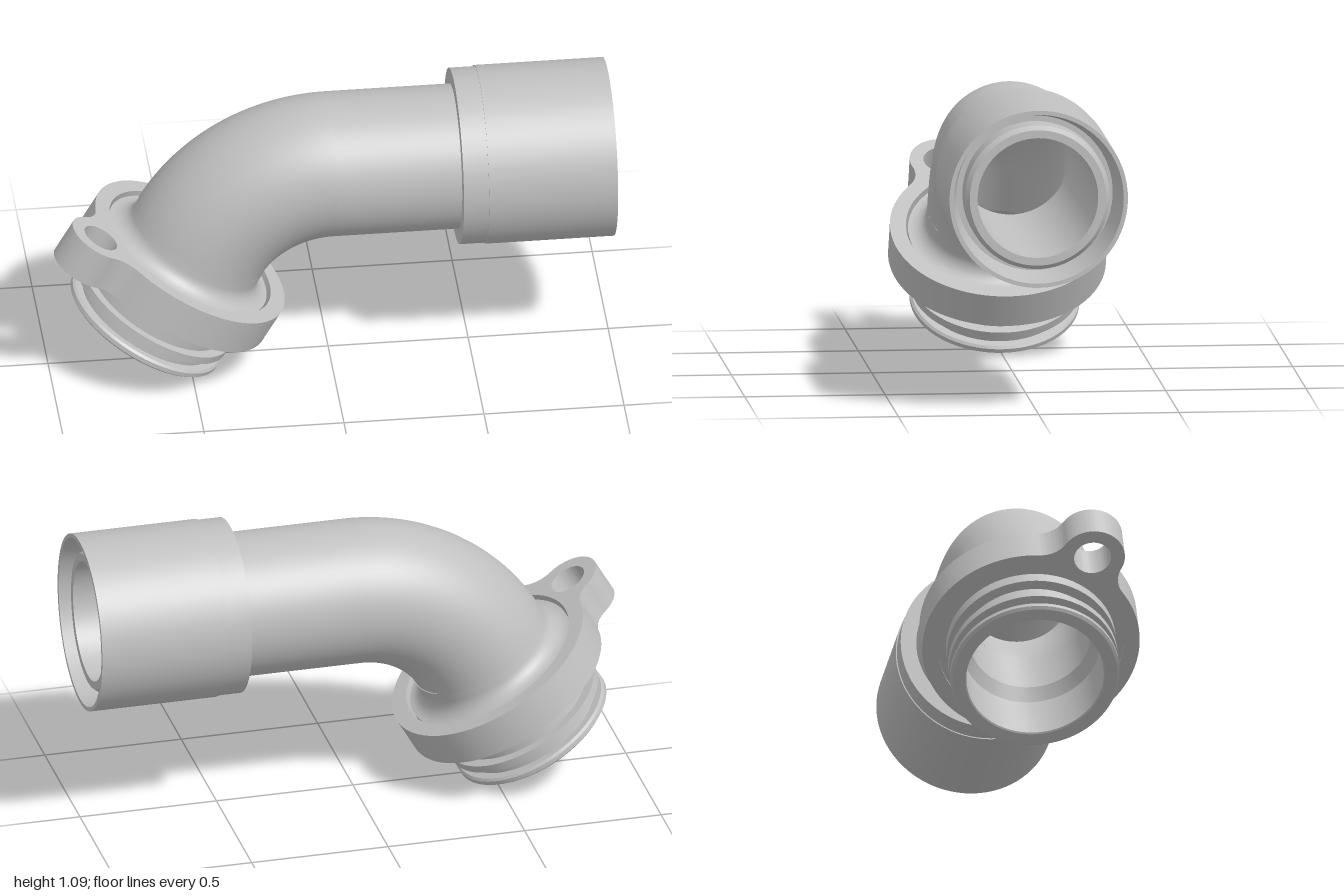
import * as THREE from 'three';
import { toCreasedNormals } from 'three/addons/utils/BufferGeometryUtils.js';

const OUTER = 0.258, BORE = 0.215;
const AXIS_Y = 0.782, BEND_X = 0.005, BEND_R = 0.53;

// Quarter-style arc from the straight run down to the tilted spigot
class BendCurve extends THREE.Curve {
  getPoint(t, target = new THREE.Vector3()) {
    const a = t * Math.PI / 3;
    return target.set(
      BEND_X - BEND_R * Math.sin(a),
      AXIS_Y - BEND_R + BEND_R * Math.cos(a), 0);
  }
}

// Flange outline: a disc and a lug joined by two tangent fillets
function flangeGeometry(R, lugX, lugZ, r, f, depth) {
  const d = Math.hypot(lugX, lugZ);
  const a = ((R + f) ** 2 - (r + f) ** 2 + d * d) / (2 * d);
  const h = Math.sqrt((R + f) ** 2 - a * a);
  const phi = Math.atan2(h, a), psi = Math.atan2(h, a - d);
  const s = new THREE.Shape();
  s.absarc(0, 0, R, phi, 2 * Math.PI - phi, false);
  s.absarc(a, -h, f, Math.PI - phi, Math.atan2(h, d - a), true);
  s.absarc(d, 0, r, -psi, psi, false);
  s.absarc(a, h, f, Math.atan2(-h, d - a), phi - Math.PI, true);
  s.holes.push(
    new THREE.Path().absarc(0, 0, 0.33, 0, Math.PI * 2, true),
    new THREE.Path().absarc(d, 0, 0.066, 0, Math.PI * 2, true));
  const g = new THREE.ExtrudeGeometry(s, { depth, bevelEnabled: false, curveSegments: 48 });
  g.rotateZ(Math.atan2(-lugZ, lugX));
  g.rotateX(-Math.PI / 2);
  return toCreasedNormals(g, 0.5);
}

export function createModel() {
  const model = new THREE.Group();
  model.name = 'pipeElbow';
  const grey = new THREE.MeshStandardMaterial({ color: 0xc0c0c0, side: THREE.DoubleSide });
  grey.name = 'grey';

  const add = (parent, name, geometry) => {
    const mesh = new THREE.Mesh(geometry, grey);
    mesh.name = name;
    parent.add(mesh);
    return mesh;
  };
  const lathe = (profile) => toCreasedNormals(
    new THREE.LatheGeometry(profile.map(([x, y]) => new THREE.Vector2(x, y)), 80), 0.45);

  // Bend: outer skin and bore
  const curve = new BendCurve();
  add(model, 'bendOuter', new THREE.TubeGeometry(curve, 40, OUTER, 80, false));
  add(model, 'bendBore', new THREE.TubeGeometry(curve, 40, BORE, 80, false));

  // Straight run and collar, turned about the x axis
  const run = new THREE.Group();
  run.name = 'straightRun';
  run.position.y = AXIS_Y;
  run.rotation.z = -Math.PI / 2;
  model.add(run);
  add(run, 'straightPipe', lathe([
    [OUTER, BEND_X], [OUTER, 0.95], [0.243, 0.97], [BORE, 0.97], [BORE, BEND_X],
  ]));
  add(run, 'collar', lathe([
    [OUTER, 0.45], [0.314, 0.45], [0.314, 0.54], [0.318, 0.54], [0.318, 1],
    [0.303, 1], [0.278, 0.85], [OUTER, 0.85],
  ]));

  // Tilted end: grooved spigot with a flange around it
  const end = new THREE.Group();
  end.name = 'flangedEnd';
  end.position.set(-0.66, 0.155, 0);
  end.rotation.z = -Math.PI / 6;
  model.add(end);

  const fillet = [];
  for (let i = 0; i <= 8; i++) {
    const a = (i / 8) * Math.PI / 2;
    fillet.push([0.322 - 0.064 * Math.sin(a), 0.379 - 0.06 * Math.cos(a)]);
  }
  add(end, 'spigot', lathe([
    [BORE, 0.42], [BORE, 0.24], [0.245, 0.19], [0.245, 0.004], [0.25, 0],
    [0.292, 0], [0.302, 0.008], [0.302, 0.024], [0.294, 0.032], [0.266, 0.032],
    [0.266, 0.069], [0.302, 0.069], [0.302, 0.1], [0.266, 0.1],
    [0.266, 0.163], [0.302, 0.163], [0.302, 0.205], [0.33, 0.205],
    [0.322, 0.21], ...fillet, [OUTER, 0.416],
  ]));

  const flange = add(end, 'flange', flangeGeometry(0.387, -0.39, 0.17, 0.115, 0.1, 0.135));
  flange.position.y = 0.199;

  return model;
}
